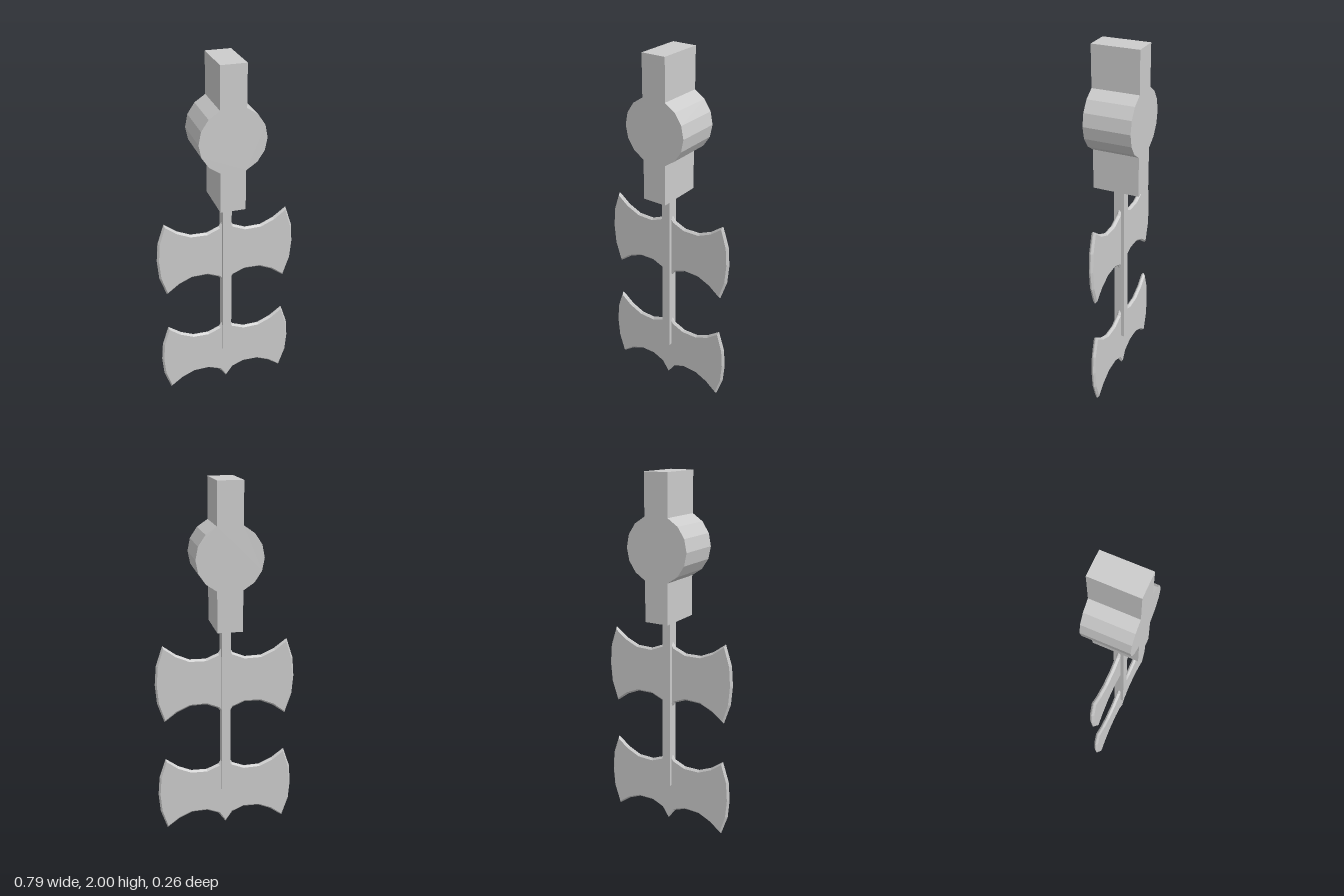
import * as THREE from 'three';

const material = new THREE.MeshStandardMaterial({ color: 0xcccccc, flatShading: true });

function addMesh(group, name, geometry, y) {
  const mesh = new THREE.Mesh(geometry, material);
  mesh.name = name;
  mesh.position.y = y;
  group.add(mesh);
}

// Extrudes an outline centred on z = 0
function extrude(points, depth, bevel = 0) {
  const geometry = new THREE.ExtrudeGeometry(new THREE.Shape(points), {
    depth, bevelEnabled: bevel > 0, bevelThickness: bevel,
    bevelSize: bevel, bevelOffset: -bevel, bevelSegments: 1,
  });
  return geometry.translate(0, 0, -depth / 2);
}

// Bar with a faceted round boss in the middle
function headGeometry() {
  const r = 0.18, halfHeight = 0.39, half = [];
  const w = r * Math.cos(Math.PI * 3 / 8);
  half.push([w, -halfHeight]);
  for (let i = -3; i <= 3; i++) {
    const a = i * Math.PI / 8;
    half.push([r * Math.cos(a), r * Math.sin(a)]);
  }
  half.push([w, halfHeight]);
  const points = [...half, ...half.map(([x, y]) => [-x, -y])];
  return extrude(points.map(([x, y]) => new THREE.Vector2(x, y)), 0.26);
}

// Double-sided axe blade: one quarter of the outline mirrored four ways
function bladeGeometry() {
  const quarter = [[0.394, 0], [0.385, 0.11], [0.347, 0.2235], [0.275, 0.17],
    [0.2, 0.137], [0.11, 0.135], [0.042, 0.163], [0, 0.2235]];
  const upper = [...quarter, ...quarter.slice(0, -1).reverse().map(([x, y]) => [-x, y])];
  const lower = upper.slice(1, -1).reverse().map(([x, y]) => [x, -y]);
  const points = [...upper, ...lower].map(([x, y]) => new THREE.Vector2(x, y));
  return extrude(points, 0.005, 0.01);
}

export function createModel() {
  const model = new THREE.Group();
  model.name = 'axePendulum';

  addMesh(model, 'pivotHead', headGeometry(), 1.61);
  addMesh(model, 'shaft', new THREE.BoxGeometry(0.05, 1.0, 0.06), 0.726);

  const blade = bladeGeometry();
  addMesh(model, 'lowerBlade', blade, 0.2235);
  addMesh(model, 'upperBlade', blade, 0.902);

  return model;
}
